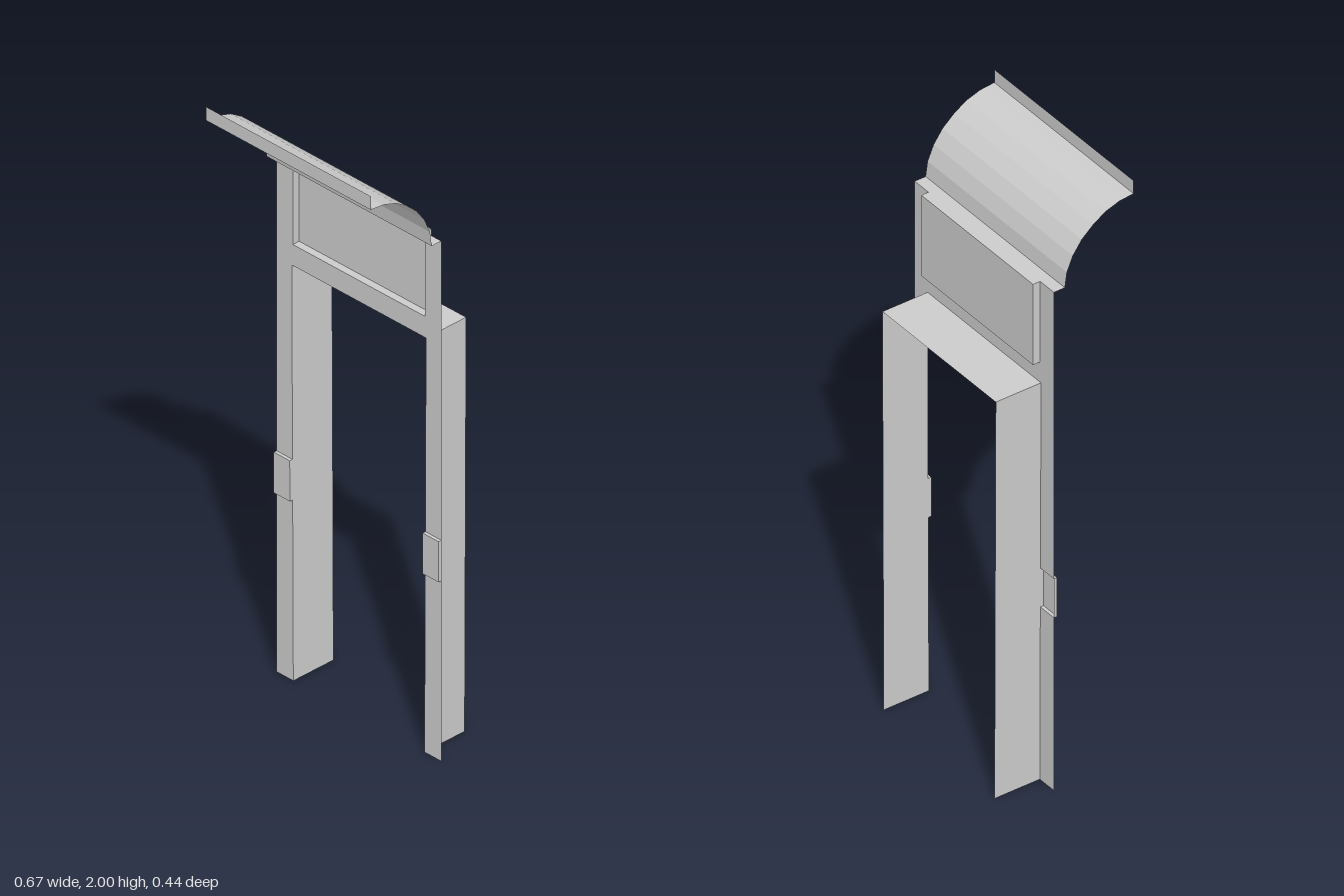
import * as THREE from 'three';

const material = new THREE.MeshStandardMaterial({ color: 0xcccccc, side: THREE.DoubleSide, flatShading: true });

// Thin sheet ruled between two edge lines with equal point counts
function sheet(name, a, b) {
  const pos = [];
  for (let i = 0; i < a.length - 1; i++) {
    pos.push(...a[i], ...b[i], ...b[i + 1], ...a[i], ...b[i + 1], ...a[i + 1]);
  }
  const geometry = new THREE.BufferGeometry();
  geometry.setAttribute('position', new THREE.Float32BufferAttribute(pos, 3));
  geometry.computeVertexNormals();
  const mesh = new THREE.Mesh(geometry, material);
  mesh.name = name;
  return mesh;
}

// Sheet swept across x from a [z, y] profile; x0 and x1 may depend on y
function sweep(name, profile, x0, x1) {
  const edge = (x) => profile.map(([z, y]) => [typeof x === 'function' ? x(y) : x, y, z]);
  return sheet(name, edge(x0), edge(x1));
}

export function createModel() {
  const group = new THREE.Group();
  const W = 0.333;                      // half width of the frame
  const face = -0.06, back = -0.218;    // front face and rear edge
  const doorTop = 1.38, wallTop = 1.73;
  const px = 0.267, py = 1.45, pz = -0.085; // sign recess
  const padZ = -0.049, pad0 = 0.6, pad1 = 0.735;
  const inner = (y) => 0.265 + 0.006 * Math.min(1, y / doorTop);

  for (const s of [1, -1]) {
    const outer = s * W;
    const inside = (y) => s * inner(y);

    // Post front with its raised pad
    group.add(sweep('postFront', [
      [face, 0], [face, pad0], [padZ, pad0], [padZ, pad1], [face, pad1], [face, doorTop],
    ], inside, outer));

    // Closed ends of the pad
    for (const x of [inside, outer]) {
      const at = (y) => (typeof x === 'function' ? x(y) : x);
      group.add(sheet('padSide',
        [[at(pad0), pad0, face], [at(pad1), pad1, face]],
        [[at(pad0), pad0, padZ], [at(pad1), pad1, padZ]]));
    }

    // Doorway reveal
    group.add(sheet('doorReveal',
      [[inside(0), 0, face], [inside(doorTop), doorTop, face]],
      [[inside(0), 0, back], [inside(doorTop), doorTop, back]]));

    // Wall beside the sign and the side of its recess
    group.add(sweep('upperWall', [[face, py], [face, wallTop]], s * px, outer));
    group.add(sheet('recessSide',
      [[s * px, py, face], [s * px, wallTop, face]],
      [[s * px, py, pz], [s * px, wallTop, pz]]));
  }

  // Beam over the doorway, with its underside
  const dx = inner(doorTop);
  group.add(sweep('beamFront', [[face, doorTop], [face, py]], -W, W));
  group.add(sweep('doorCeiling', [[face, doorTop], [back, doorTop]], -dx, dx));

  // Recessed sign: sill, panel and top
  group.add(sweep('signRecess', [[face, py], [pz, py], [pz, wallTop], [face, wallTop]], -px, px));

  // Ledge, curved canopy and upright lip
  group.add(sweep('canopy', [
    [face, wallTop], [-0.022, wallTop], [-0.015, 1.78], [0.006, 1.829], [0.037, 1.872],
    [0.077, 1.907], [0.12, 1.934], [0.168, 1.95], [0.218, 1.955], [0.218, 2],
  ], -W, W));

  return group;
}
